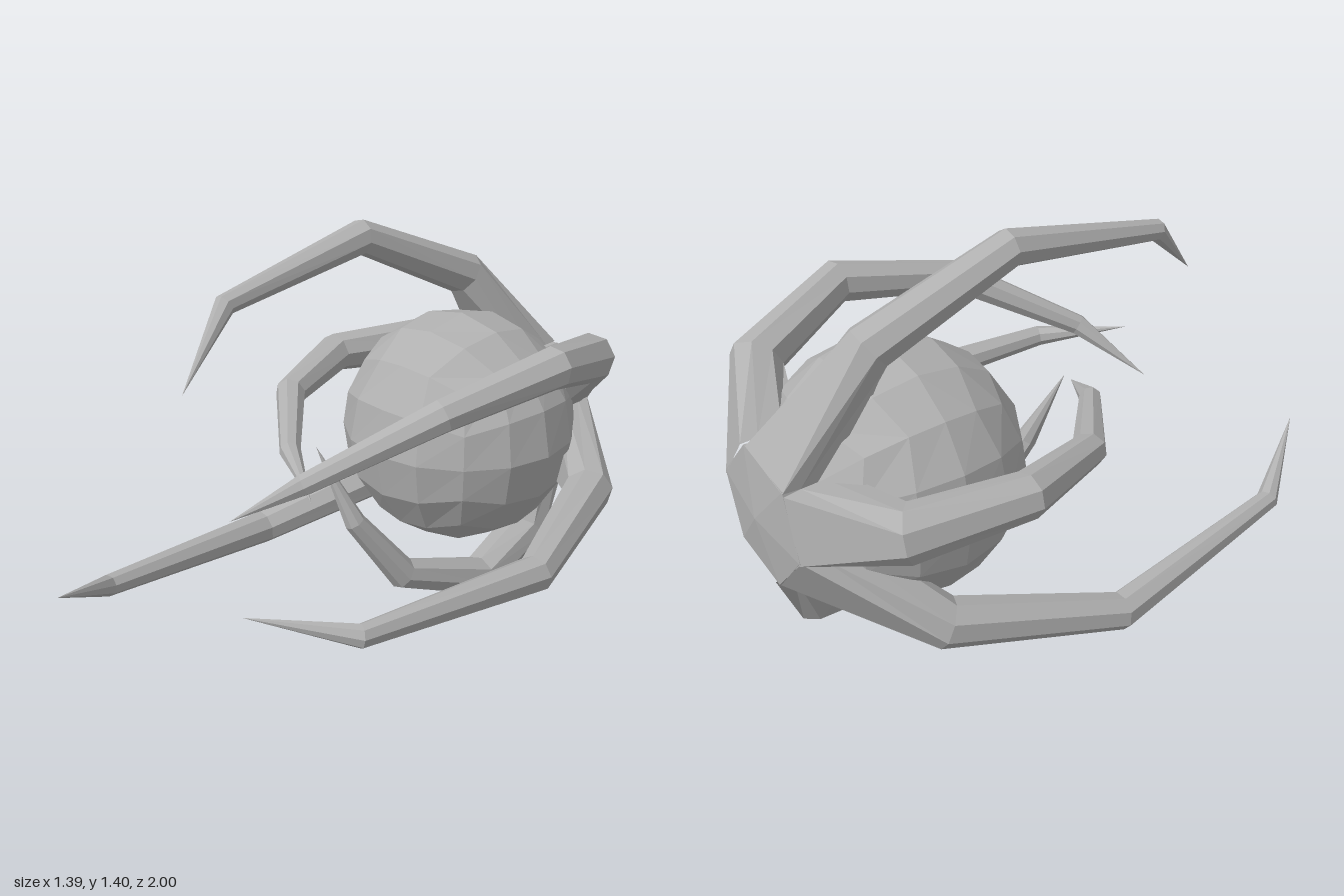
import * as THREE from 'three';

const grey = new THREE.MeshStandardMaterial({ color: 0xb0b0b0, flatShading: true });
grey.name = 'stoneGrey';

const HUB = new THREE.Vector3(-0.07, 0.63, 0);
const SIDES = 8;

// Each claw: joints as [x, y, z, radius], ending in a pointed tip
const CLAWS = {
  topClaw: [[-0.19, 1.14, -0.65, 0.078], [-0.255, 1.345, -0.2, 0.06], [-0.245, 1.24, 0.39, 0.036], [-0.175, 1.02, 0.62, 0]],
  upperLeftClaw: [[0.31, 0.92, -0.76, 0.088], [0.45, 1.02, -0.38, 0.072], [0.365, 0.95, 0.04, 0.055], [0.12, 0.75, 0.39, 0.036], [-0.09, 0.59, 0.53, 0]],
  lowerLeftClaw: [[0.44, 0.5, -0.63, 0.085], [0.63, 0.445, -0.12, 0.062], [0.545, 0.47, 0.555, 0.038], [0.31, 0.53, 0.8, 0]],
  bottomClaw: [[0.05, 0.155, -0.77, 0.088], [0.1, 0.083, -0.46, 0.076], [0.06, 0.22, -0.1, 0.056], [0, 0.46, 0.07, 0.037], [-0.1, 0.73, 0.15, 0]],
  lowerRightClaw: [[-0.47, 0.3, -0.6, 0.082], [-0.63, 0.165, -0.04, 0.062], [-0.555, 0.235, 0.71, 0.038], [-0.38, 0.38, 1.0, 0]],
  upperRightClaw: [[-0.555, 0.76, -0.77, 0.088], [-0.63, 0.78, -0.42, 0.072], [-0.51, 0.74, -0.09, 0.055], [-0.21, 0.685, 0.17, 0.037], [0.02, 0.61, 0.28, 0]],
};

function clawGeometry(joints) {
  // The claw leaves the hub radially, in the plane of its widest joint
  const radial = new THREE.Vector3(joints[1][0], joints[1][1], 0).sub(HUB).normalize();
  const side = new THREE.Vector3(0, 0, 1).cross(radial);
  const base = HUB.clone().addScaledVector(radial, 0.195).setZ(-0.88);
  const centers = [base, ...joints.map(j => new THREE.Vector3(j[0], j[1], j[2]))];
  const radii = [0.105, ...joints.map(j => j[3])];
  const last = centers.length - 1;
  const positions = [], index = [];

  centers.forEach((c, i) => {
    const tangent = new THREE.Vector3();
    if (i === 0) tangent.copy(radial);
    else {
      tangent.subVectors(c, centers[i - 1]).normalize();
      if (i < last) tangent.add(centers[i + 1].clone().sub(c).normalize()).normalize();
    }
    const lat = side.clone().addScaledVector(tangent, -side.dot(tangent)).normalize();
    const out = tangent.clone().cross(lat);
    for (let j = 0; j < SIDES; j++) {
      const a = (j + 0.5) / SIDES * Math.PI * 2;
      let u = Math.cos(a);
      // Square off the root so that neighbouring claws meet on the hub
      if (i === 0) u = THREE.MathUtils.clamp(u * 2.7, -1.08, 1.08);
      const p = c.clone().addScaledVector(lat, u * radii[i]).addScaledVector(out, Math.sin(a) * radii[i]);
      positions.push(p.x, p.y, p.z);
      if (i < last) {
        const k = i * SIDES + j, n = i * SIDES + (j + 1) % SIDES;
        index.push(k, n, n + SIDES);
        if (i < last - 1) index.push(k, n + SIDES, k + SIDES);
      }
    }
  });
  const g = new THREE.BufferGeometry();
  g.setAttribute('position', new THREE.Float32BufferAttribute(positions, 3));
  g.setIndex(index);
  const flat = g.toNonIndexed();
  flat.computeVertexNormals();
  return flat;
}

// Cube with evenly spread grid lines, pushed out to a sphere
function quadSphere(radius, segments) {
  const g = new THREE.BoxGeometry(2, 2, 2, segments, segments, segments).toNonIndexed();
  const p = g.attributes.position, v = new THREE.Vector3();
  const warp = t => Math.tan(t * Math.PI / 4);
  for (let i = 0; i < p.count; i++) {
    v.fromBufferAttribute(p, i);
    v.set(warp(v.x), warp(v.y), warp(v.z)).setLength(radius);
    p.setXYZ(i, v.x, v.y, v.z);
  }
  g.computeVertexNormals();
  return g;
}

export function createModel() {
  const model = new THREE.Group();
  model.name = 'clawedOrb';
  const add = (name, geometry) => {
    const mesh = new THREE.Mesh(geometry, grey);
    mesh.name = name;
    model.add(mesh);
    return mesh;
  };

  add('orb', quadSphere(0.42, 4)).position.set(-0.07, 0.63, -0.515);

  // Shallow six-sided cap joining the claws at the back
  const profile = [[0, 0.85], [0.22, 0.87], [0.225, 0.976], [0, 1]].map(p => new THREE.Vector2(...p));
  const hub = new THREE.LatheGeometry(profile, 6, Math.PI / 10).rotateX(-Math.PI / 2).toNonIndexed();
  hub.computeVertexNormals();
  add('hub', hub).position.copy(HUB);

  for (const [name, joints] of Object.entries(CLAWS)) add(name, clawGeometry(joints));
  return model;
}
